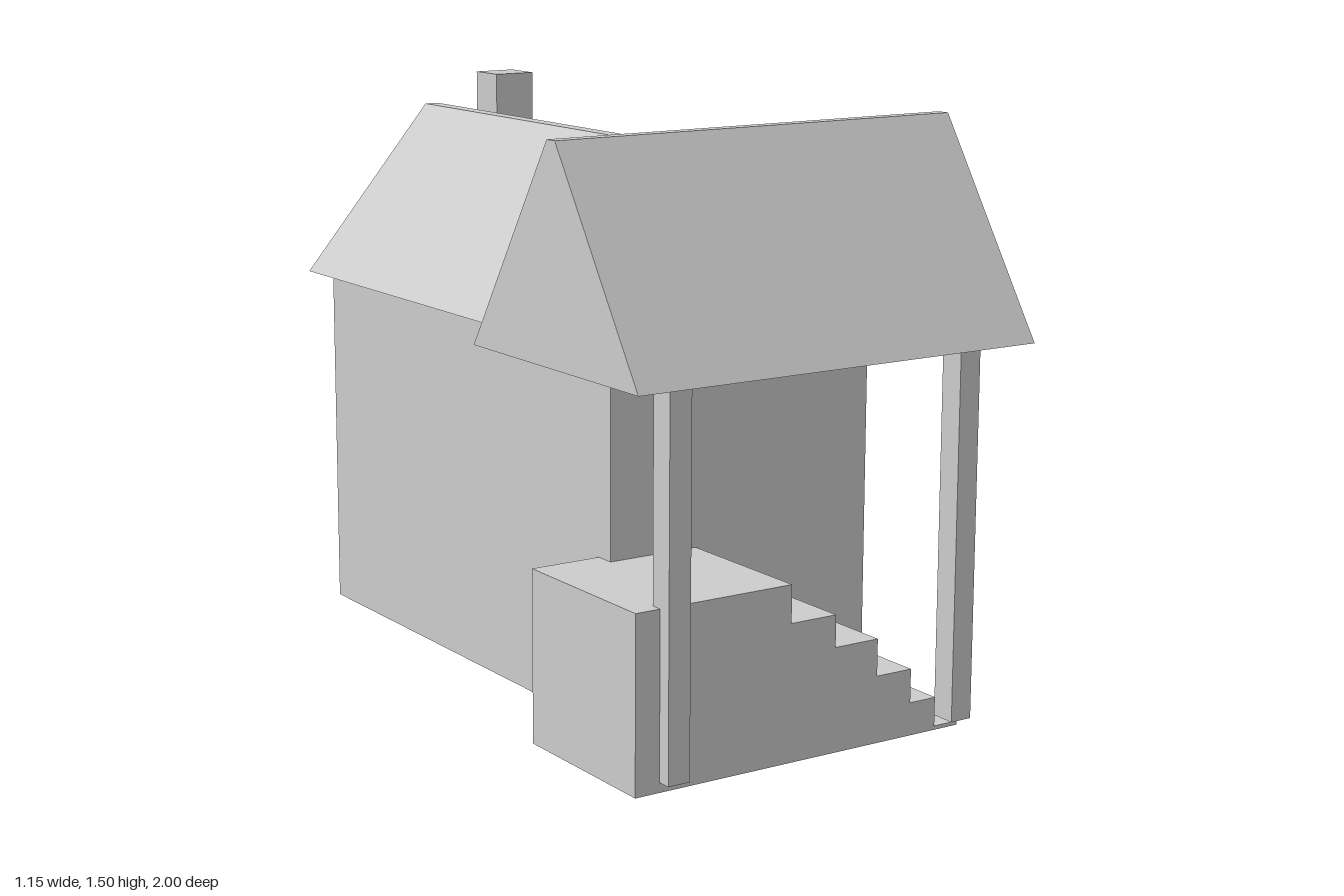
import * as THREE from 'three';

export function createModel() {
  const model = new THREE.Group();
  model.name = 'house';
  const grey = new THREE.MeshStandardMaterial({ color: 0xcccccc });
  grey.name = 'plain grey';

  function add(name, geometry) {
    const mesh = new THREE.Mesh(geometry, grey);
    mesh.name = name;
    model.add(mesh);
    return mesh;
  }

  // Box given by its extents along each axis
  function box(name, x0, x1, y0, y1, z0, z1) {
    const mesh = add(name, new THREE.BoxGeometry(x1 - x0, y1 - y0, z1 - z0));
    mesh.position.set((x0 + x1) / 2, (y0 + y1) / 2, (z0 + z1) / 2);
    return mesh;
  }

  // Extruded outline running from z0 to z1
  function prism(name, points, z0, z1) {
    const shape = new THREE.Shape(points.map(([x, y]) => new THREE.Vector2(x, y)));
    const geometry = new THREE.ExtrudeGeometry(shape, { depth: z1 - z0, bevelEnabled: false });
    geometry.translate(0, 0, z0);
    return add(name, geometry);
  }

  // Main building and its gabled roof with a narrow flat ridge
  box('walls', -0.35, 0.426, 0.01, 0.95, -0.9, 0.54);
  prism('mainRoof', [[-0.375, 0.944], [0.44, 0.944], [0.05, 1.4], [0.01, 1.4]], -1, 0.605);

  // Porch roof, its ridge running across the front
  const porchRoof = prism('porchRoof',
    [[-1, 0.956], [-0.28, 0.956], [-0.62, 1.485], [-0.655, 1.485]], -0.575, 0.575);
  porchRoof.rotation.y = Math.PI / 2;

  // Porch posts
  box('rightPost', -0.473, -0.413, 0.025, 0.956, 0.907, 0.973);
  box('leftPost', 0.367, 0.427, 0.025, 0.956, 0.907, 0.973);

  // Landing and steps going down towards the left
  const steps = [
    ['landing', -0.54, -0.1, 0.44, 0.487],
    ['step1', -0.1, 0.032, 0.345, 0.487],
    ['step2', 0.032, 0.16, 0.264, 0.487],
    ['step3', 0.16, 0.265, 0.17, 0.55],
    ['step4', 0.265, 0.343, 0.084, 0.55],
    ['stepFoot', 0.343, 0.414, 0.01, 0.55],
  ];
  for (const [name, x0, x1, top, back] of steps) box(name, x0, x1, 0, top, back, 0.937);

  // Chimney
  box('chimney', 0.063, 0.18, 1.25, 1.505, -0.795, -0.685);

  // Dormer on the left slope
  box('dormerWalls', 0.18, 0.34, 1.06, 1.187, -0.32, -0.18);
  const dormerRoof = prism('dormerRoof', [[0.17, 1.185], [0.33, 1.185], [0.25, 1.3]], 0.1, 0.365);
  dormerRoof.rotation.y = Math.PI / 2;

  return model;
}
